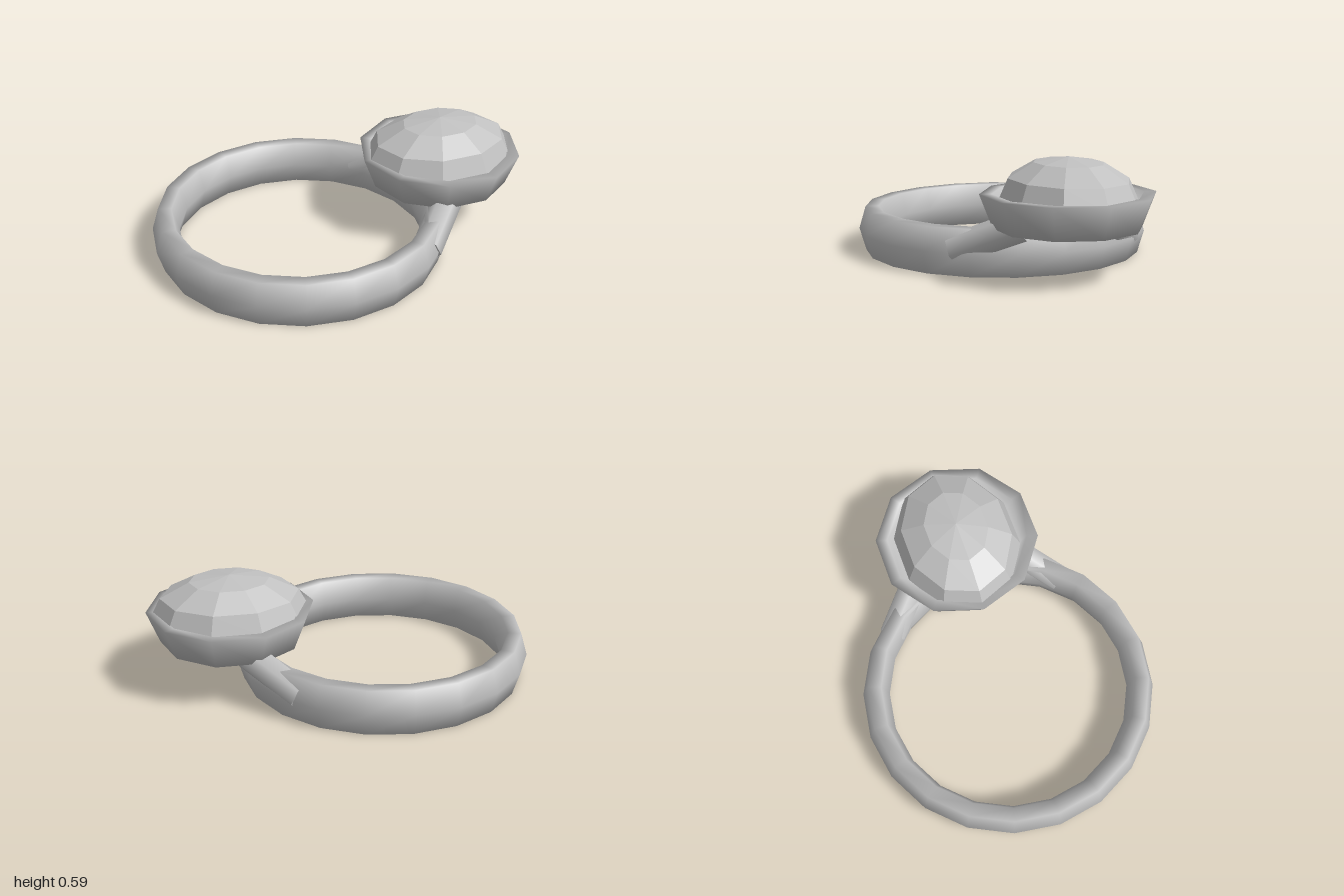
import * as THREE from 'three';

export function createModel() {
  const ring = new THREE.Group();
  ring.name = 'ring';
  const metal = new THREE.MeshStandardMaterial({ color: 0xc0c0c0 });
  metal.name = 'light grey';

  const add = (name, geometry) => {
    const mesh = new THREE.Mesh(geometry, metal);
    mesh.name = name;
    ring.add(mesh);
    return mesh;
  };

  // Band: six-sided section stretched to a tall oval, lying flat
  const band = new THREE.TorusGeometry(0.7, 0.07, 6, 20);
  band.scale(1, 1, 1.955);
  band.rotateX(-Math.PI / 2);
  add('band', band).position.set(-0.23, 0.1185, 0);

  // Setting: ten-sided flared cup with a rim and a recessed floor
  const cupProfile = [
    [0, 0.25], [0.365, 0.25], [0.43, 0.417], [0.37, 0.417], [0.34, 0.36], [0, 0.36],
  ].map(([r, y]) => new THREE.Vector2(r, y));
  const cup = new THREE.LatheGeometry(cupProfile, 10, Math.PI / 2);
  add('setting', cup).position.x = 0.563;

  // Stone: faceted upper dome of an oval sphere, sunk into the cup
  const dome = new THREE.SphereGeometry(1, 10, 3, 0, Math.PI * 2, 0, Math.PI / 2);
  dome.scale(0.41, 0.21, 0.328);
  const stone = dome.toNonIndexed();
  stone.computeVertexNormals();
  add('stone', stone).position.set(0.563, 0.383, 0);

  // Shoulders: a stubby strut on each side, from band to setting
  for (const side of [1, -1]) {
    const start = new THREE.Vector3(0.275, 0.125, 0.48 * side);
    const end = new THREE.Vector3(0.53, 0.27, 0.225 * side);
    const axis = end.clone().sub(start);
    const strut = add(side > 0 ? 'frontShoulder' : 'backShoulder',
      new THREE.CylinderGeometry(0.08, 0.078, axis.length(), 6));
    strut.position.copy(start).add(end).multiplyScalar(0.5);
    strut.quaternion.setFromUnitVectors(new THREE.Vector3(0, 1, 0), axis.normalize());
  }

  return ring;
}
